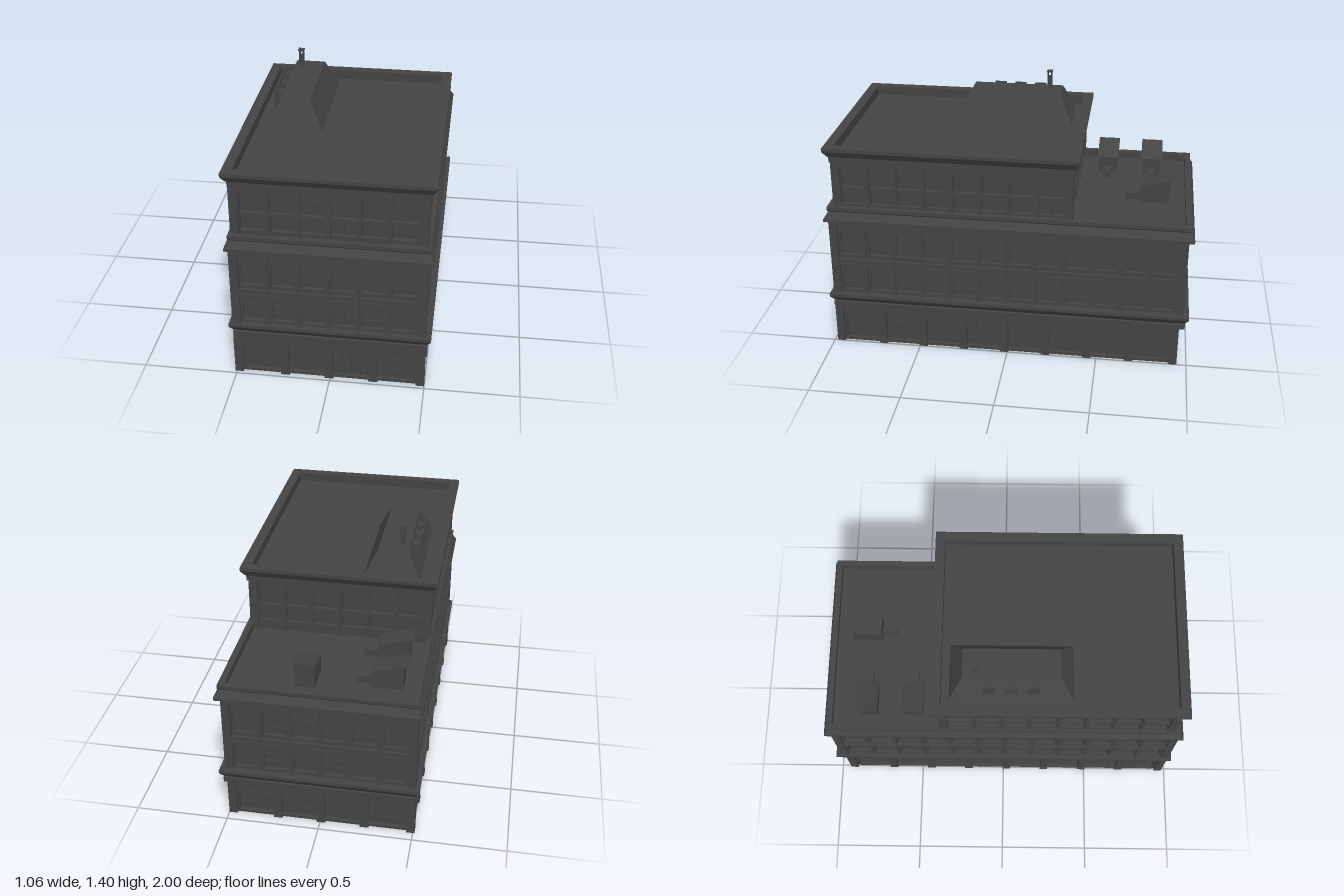
import * as THREE from 'three';
import { mergeGeometries } from 'three/addons/utils/BufferGeometryUtils.js';

const material = new THREE.MeshStandardMaterial({
  color: 0x444444, flatShading: true, side: THREE.DoubleSide,
});

function add(parent, name, geometry) {
  const mesh = new THREE.Mesh(geometry, material);
  mesh.name = name;
  parent.add(mesh);
  return mesh;
}

// Box given by its limits
function box(x0, x1, y0, y1, z0, z1) {
  return new THREE.BoxGeometry(x1 - x0, y1 - y0, z1 - z0)
    .translate((x0 + x1) / 2, (y0 + y1) / 2, (z0 + z1) / 2);
}

// Sweeps a profile of [outward offset, height] around a rectangle with mitred corners
function ring(r, profile) {
  const pos = [], index = [];
  for (const [o, y] of profile) {
    pos.push(r.x1 + o, y, r.z1 + o, r.x1 + o, y, r.z0 - o,
      r.x0 - o, y, r.z0 - o, r.x0 - o, y, r.z1 + o);
  }
  for (let j = 0; j < profile.length - 1; j++) {
    for (let i = 0; i < 4; i++) {
      const k = (i + 1) % 4, a = j * 4 + i, b = j * 4 + k;
      index.push(a, b, b + 4, a, b + 4, a + 4);
    }
  }
  const g = new THREE.BufferGeometry();
  g.setAttribute('position', new THREE.Float32BufferAttribute(pos, 3));
  g.setIndex(index);
  const flat = g.toNonIndexed();
  flat.computeVertexNormals();
  return flat;
}

// One wall of a storey: pierced wall, panes, glazing bars, pilasters and bands
function facade(storey, length, bays) {
  const g = new THREE.Group();
  const { y0, y1, rows, gap, bands } = storey;
  const half = length / 2, inner = half - 0.033, pitch = 2 * inner / bays;
  const wall = new THREE.Shape([
    new THREE.Vector2(-half + 0.012, y0), new THREE.Vector2(half - 0.012, y0),
    new THREE.Vector2(half - 0.012, y1), new THREE.Vector2(-half + 0.012, y1),
  ]);
  const bars = [], pilasters = [];
  const w = (pitch - gap) / 2;
  for (let i = 0; i < bays; i++) {
    const c = -inner + (i + 0.5) * pitch;
    for (const row of rows) {
      const hole = new THREE.Path();
      hole.moveTo(c - w, row.sill);
      hole.lineTo(c + w, row.sill);
      hole.lineTo(c + w, row.spring);
      if (row.top > row.spring) hole.absellipse(c, row.spring, w, row.top - row.spring, 0, Math.PI, false);
      else hole.lineTo(c - w, row.spring);
      hole.closePath();
      wall.holes.push(hole);
      // Glazing bars, showing on both sides of the pane
      for (let k = 1; k <= row.mullions; k++) {
        const x = c - w + 2 * w * k / (row.mullions + 1);
        bars.push(box(x - 0.002, x + 0.002, row.sill, row.top, -0.031, -0.023));
      }
      for (const y of row.transoms) bars.push(box(c - w, c + w, y - 0.002, y + 0.002, -0.032, -0.022));
      // Projecting sill
      bars.push(box(c - w, c + w, row.sill - 0.002, row.sill + 0.008, -0.028, -0.006));
    }
  }
  for (let i = 1; i < bays; i++) {
    const x = -inner + i * pitch, p = storey.pilaster / 2;
    pilasters.push(box(x - p, x + p, y0, y1 - 0.015, -0.042, 0));
    pilasters.push(box(x - p - 0.004, x + p + 0.004, y0, y0 + 0.02, -0.024, 0.003));
  }
  add(g, 'wall', new THREE.ExtrudeGeometry(wall, { depth: 0.022, bevelEnabled: false, curveSegments: 10 })
    .translate(0, 0, -0.034));
  add(g, 'panes', new THREE.PlaneGeometry(length - 0.05, y1 - y0).translate(0, (y0 + y1) / 2, -0.027));
  add(g, 'glazingBars', mergeGeometries(bars));
  add(g, 'pilasters', mergeGeometries(pilasters));
  add(g, 'bands', mergeGeometries(bands.map(([a, b, d]) => box(-inner, inner, a, b, -0.04, d))));
  return g;
}

// Four walls and four corner piers of a storey
function buildStorey(root, name, storey, rect) {
  const g = new THREE.Group();
  g.name = name;
  const { x0, x1, z0, z1 } = rect, cx = (x0 + x1) / 2, cz = (z0 + z1) / 2;
  const sides = [
    ['frontWall', x1 - x0, storey.frontBays, 0, cx, z1],
    ['leftWall', z1 - z0, storey.sideBays, Math.PI / 2, x1, cz],
    ['backWall', x1 - x0, storey.frontBays, Math.PI, cx, z0],
    ['rightWall', z1 - z0, storey.sideBays, -Math.PI / 2, x0, cz],
  ];
  for (const [label, length, bays, turn, x, z] of sides) {
    const wall = facade(storey, length, bays);
    wall.name = label;
    wall.rotation.y = turn;
    wall.position.set(x, 0, z);
    g.add(wall);
  }
  const piers = [], s = 0.0225 - 0.004;
  for (const x of [x0 + s, x1 - s]) {
    for (const z of [z0 + s, z1 - s]) {
      piers.push(box(x - 0.0225, x + 0.0225, storey.y0, storey.y1, z - 0.0225, z + 0.0225));
    }
  }
  add(g, 'cornerPiers', mergeGeometries(piers));
  root.add(g);
}

// Small shed whose thin roof rises towards its open end at -x
function shed(name, length, width, low, high) {
  const g = new THREE.Group();
  g.name = name;
  const h = length / 2, slope = (high - low) / length, over = length * 0.12;
  const extrude = (pts, depth) => new THREE.ExtrudeGeometry(
    new THREE.Shape(pts.map((p) => new THREE.Vector2(...p))), { depth, bevelEnabled: false },
  ).translate(0, 0, -depth / 2);
  add(g, 'body', extrude([[-h + over, 0], [h, 0], [h, low - 0.006],
    [-h + over, high - over * slope - 0.006]], width * 0.86));
  add(g, 'slopingRoof', extrude([[-h, high - 0.007], [h, low - 0.007], [h, low], [-h, high]], width));
  return g;
}

export function createModel() {
  const root = new THREE.Group();
  root.name = 'building';
  const ground = { x0: -0.506, x1: 0.496, z0: -0.943, z1: 0.978 };
  const middle = { x0: -0.506, x1: 0.496, z0: -0.963, z1: 0.978 };
  const upper = { x0: -0.496, x1: 0.489, z0: -0.345, z1: 0.943 };
  const lowerEdge = { x0: -0.5, x1: 0.5, z0: -0.968, z1: 0.973 };
  const upperEdge = { x0: -0.495, x1: 0.495, z0: -0.35, z1: 0.945 };

  // Storeys
  buildStorey(root, 'groundFloor', {
    y0: 0, y1: 0.24, frontBays: 4, sideBays: 8, gap: 0.042, pilaster: 0.04,
    rows: [{ sill: 0.012, spring: 0.145, top: 0.2, mullions: 3, transoms: [0.07, 0.14] }],
    bands: [[0.208, 0.23, -0.004], [0.225, 0.235, 0.002]],
  }, ground);
  buildStorey(root, 'middleFloors', {
    y0: 0.31, y1: 0.78, frontBays: 6, sideBays: 12, gap: 0.042, pilaster: 0.014,
    rows: [
      { sill: 0.33, spring: 0.43, top: 0.49, mullions: 1, transoms: [0.38, 0.43] },
      { sill: 0.55, spring: 0.665, top: 0.728, mullions: 1, transoms: [0.605, 0.66] },
    ],
    bands: [[0.498, 0.53, -0.004], [0.496, 0.504, 0.002], [0.524, 0.532, 0.002], [0.74, 0.76, 0]],
  }, middle);
  buildStorey(root, 'upperFloor', {
    y0: 0.81, y1: 1.13, frontBays: 6, sideBays: 8, gap: 0.03, pilaster: 0.018,
    rows: [
      { sill: 0.86, spring: 0.948, top: 0.948, mullions: 1, transoms: [] },
      { sill: 0.96, spring: 1.09, top: 1.09, mullions: 1, transoms: [1.05] },
    ],
    bands: [[0.95, 0.958, -0.004], [1.1, 1.118, 0]],
  }, upper);

  // Cornices and parapets
  add(root, 'lowerCornice', ring(lowerEdge, [[-0.035, 0.236], [0.009, 0.236], [0.009, 0.265],
    [0.004, 0.27], [0.027, 0.303], [0.027, 0.32], [-0.015, 0.32]]));
  add(root, 'middleCornice', ring(lowerEdge, [[-0.015, 0.768], [0.027, 0.77], [0.027, 0.785],
    [0.003, 0.825], [0.009, 0.832], [0.009, 0.852], [-0.023, 0.852], [-0.023, 0.81]]));
  add(root, 'topCornice', ring(upperEdge, [[-0.015, 1.113], [0.006, 1.115], [0.006, 1.145],
    [0.012, 1.15], [0.033, 1.183], [0.033, 1.202], [-0.02, 1.202], [-0.02, 1.15]]));

  // Flat roofs
  add(root, 'mainRoof', box(-0.476, 0.476, 1.146, 1.15, -0.331, 0.926));
  add(root, 'rearRoof', box(-0.478, 0.478, 0.806, 0.81, -0.946, -0.32));

  // Hipped roof house with three dormers
  add(root, 'hippedRoof', ring({ x0: -0.425, x1: -0.12, z0: -0.287, z1: 0.372 },
    [[0, 1.15], [-0.073, 1.302], [-0.1525, 1.302]]));
  for (const z of [-0.077, 0.04, 0.158]) {
    const dormer = new THREE.Group();
    dormer.name = 'dormer';
    add(dormer, 'body', box(-0.4, -0.355, 1.2, 1.28, -0.029, 0.029));
    add(dormer, 'face', box(-0.406, -0.398, 1.198, 1.294, -0.033, 0.033));
    add(dormer, 'windowFrame', box(-0.409, -0.405, 1.215, 1.27, -0.018, 0.018));
    dormer.position.z = z;
    root.add(dormer);
  }

  // Chimney: shaft, four corner posts and a cap
  const chimney = [box(-0.326, -0.3, 1.29, 1.37, -0.154, -0.128), box(-0.329, -0.297, 1.395, 1.403, -0.157, -0.125)];
  for (const x of [-0.326, -0.306]) {
    for (const z of [-0.154, -0.134]) chimney.push(box(x, x + 0.006, 1.37, 1.396, z, z + 0.006));
  }
  add(root, 'chimney', mergeGeometries(chimney));

  // Ventilation sheds with ducts on the rear roof
  for (const [x, z, turn] of [[-0.34, -0.748, 0], [-0.34, -0.495, 0], [0.084, -0.785, -Math.PI / 2]]) {
    const vent = shed('ventilationShed', 0.188, 0.12, 0.1, 0.147);
    add(vent, 'duct', box(0.09, 0.174, 0, 0.04, -0.02, 0.02));
    vent.position.set(x, 0.81, z);
    vent.rotation.y = turn;
    root.add(vent);
  }
  return root;
}
